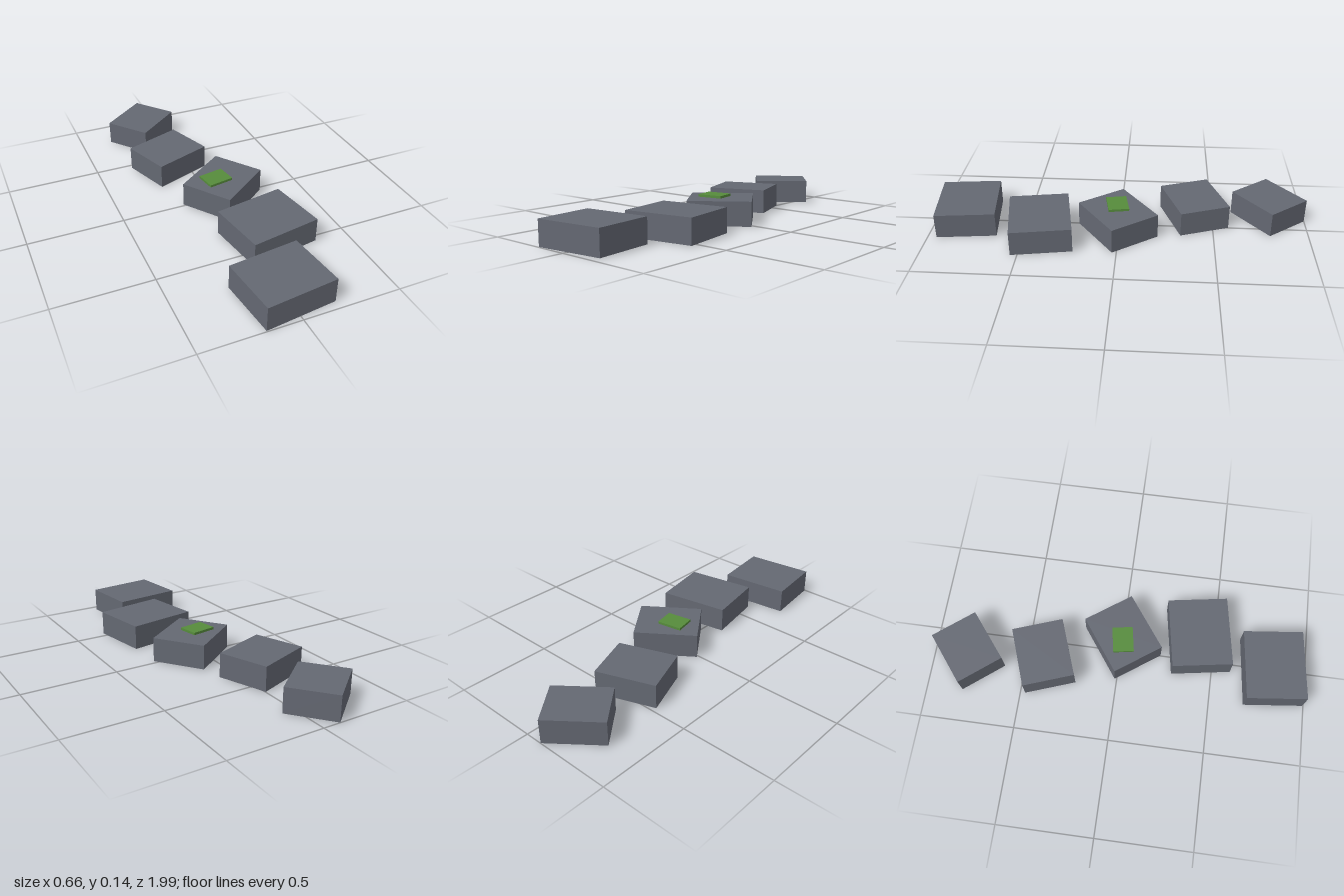
import * as THREE from 'three';

export function createModel() {
  const group = new THREE.Group();
  const stone = new THREE.MeshStandardMaterial({ color: 0x646872 });
  stone.name = 'slateGrey';
  const moss = new THREE.MeshStandardMaterial({ color: 0x568b3c });
  moss.name = 'mossGreen';
  const thickness = 0.13;

  // A slab resting on height y, turned about the vertical axis
  function slab(name, material, [x, z, width, depth, turn], y, height) {
    const mesh = new THREE.Mesh(new THREE.BoxGeometry(width, height, depth), material);
    mesh.name = name;
    mesh.position.set(x, y + height / 2, z);
    mesh.rotation.y = THREE.MathUtils.degToRad(turn);
    group.add(mesh);
  }

  // Stepping stones from back to front: x, z, width, depth, turn in degrees
  const stones = [
    [-0.131, -0.804, 0.303, 0.257, 38.8],
    [-0.106, -0.4, 0.321, 0.273, 20],
    [0.056, 0.006, 0.334, 0.283, 35.8],
    [0.118, 0.411, 0.374, 0.317, 9.6],
    [-0.012, 0.818, 0.369, 0.314, 6.6],
  ];
  stones.forEach((s, i) => slab(`steppingStone${i + 1}`, stone, s, 0, thickness));

  // Moss patch on the middle stone
  slab('mossPatch', moss, [0.016, 0.01, 0.135, 0.108, 10], thickness, 0.013);

  return group;
}
